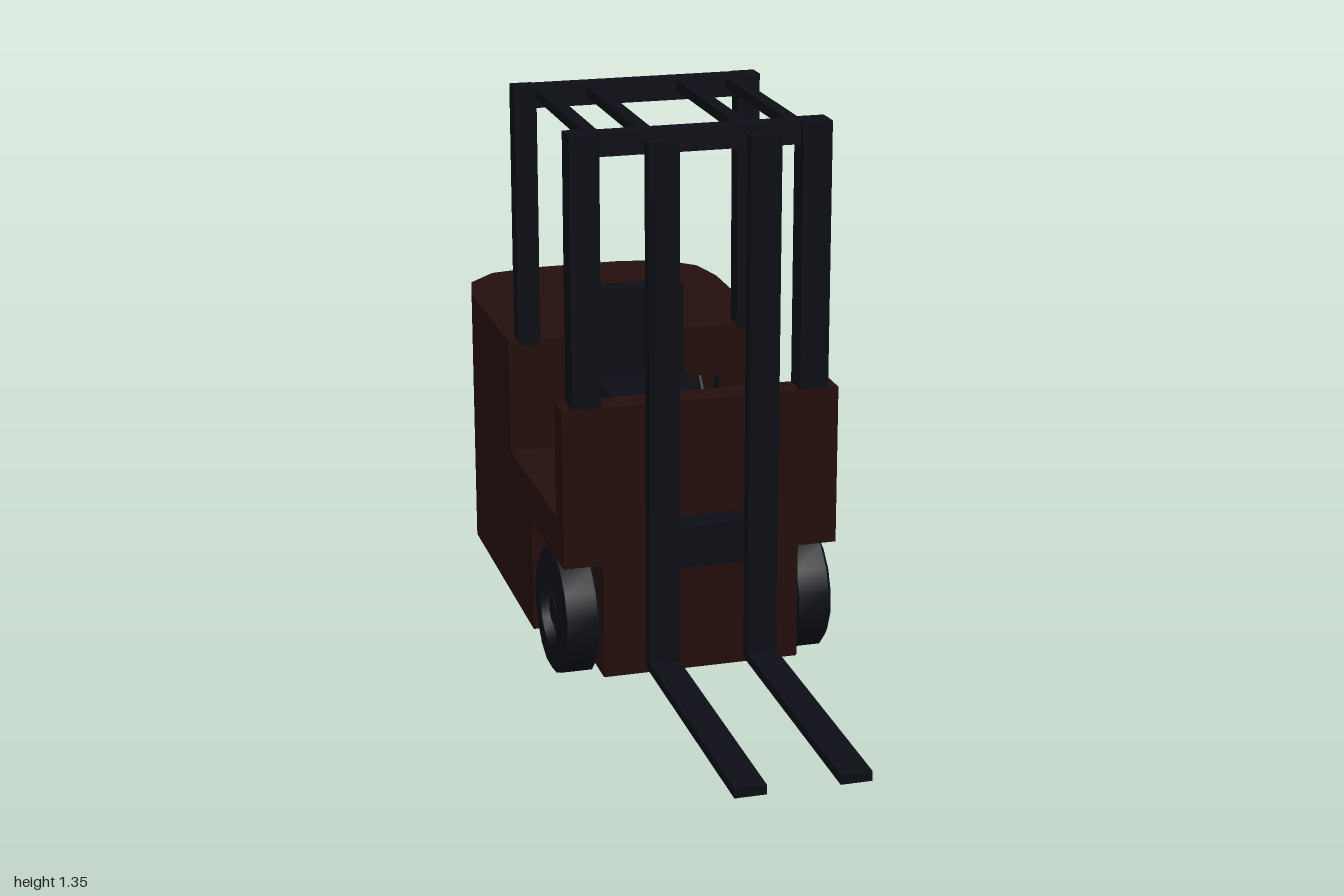
import * as THREE from 'three';
import { toCreasedNormals } from 'three/addons/utils/BufferGeometryUtils.js';

export function createModel() {
  const root = new THREE.Group();
  root.name = 'forklift';
  const paint = new THREE.MeshStandardMaterial({ color: 0x240f0c });
  const dark = new THREE.MeshStandardMaterial({ color: 0x0d0e16 });

  function add(name, geometry, material, parent = root) {
    const mesh = new THREE.Mesh(geometry, material);
    mesh.name = name;
    parent.add(mesh);
    return mesh;
  }
  // Box given by its limits on each axis
  function box(name, [x0, x1], [y0, y1], [z0, z1], material = dark) {
    const mesh = add(name, new THREE.BoxGeometry(x1 - x0, y1 - y0, z1 - z0), material);
    mesh.position.set((x0 + x1) / 2, (y0 + y1) / 2, (z0 + z1) / 2);
    return mesh;
  }
  const shapeOf = (pts) => new THREE.Shape(pts.map(([a, b]) => new THREE.Vector2(a, b)));
  // Side profile of [z, y] points, extruded across x0..x1
  function sideExtrude(name, pts, x0, x1, material) {
    const geo = new THREE.ExtrudeGeometry(shapeOf(pts), { depth: x1 - x0, bevelEnabled: false });
    geo.rotateY(-Math.PI / 2).translate(x1, 0, 0);
    return add(name, geo, material);
  }

  // Front body: centre section plus side sections notched for the wheels
  const upper = [[0.22, 0.71], [0.15, 0.71], [0.15, 0.425], [-0.34, 0.425], [-0.34, 0.035]];
  sideExtrude('bodyCentre', [[0.22, 0.035], ...upper], -0.24, 0.24, paint);
  const notched = [[0.22, 0.32], ...upper, [-0.11, 0.035], [-0.11, 0.32]];
  sideExtrude('bodySideRight', notched, -0.335, -0.24, paint);
  sideExtrude('bodySideLeft', notched, 0.24, 0.335, paint);

  // Rear counterweight with chamfered plan
  const half = [[0.335, 0.34], [0.335, 0.79], [0.313, 0.9], [0.24, 0.975], [0.12, 1]];
  const plan = [...half, ...half.map(([x, z]) => [-x, z]).reverse()];
  const counterweight = new THREE.ExtrudeGeometry(shapeOf(plan), { depth: 0.675, bevelEnabled: false });
  counterweight.rotateX(-Math.PI / 2).translate(0, 0.035, 0);
  add('counterweight', counterweight, paint);

  // Wheels: tyre with a recessed hub on each face
  function wheel(name, x, z, width) {
    const group = new THREE.Group();
    group.name = name;
    const h = width / 2;
    const profile = [
      [0.085, -h + 0.025], [0.085, -h], [0.14, -h], [0.155, -h + 0.01],
      [0.155, h - 0.01], [0.14, h], [0.085, h], [0.085, h - 0.025],
    ].map(([r, y]) => new THREE.Vector2(r, y));
    const tyre = new THREE.LatheGeometry(profile, 16, Math.PI / 16);
    add('tyre', toCreasedNormals(tyre, 0.6), dark, group);
    add('hub', new THREE.CylinderGeometry(0.085, 0.085, width - 0.05, 16, 1, false, Math.PI / 16), paint, group);
    add('axleCap', new THREE.CylinderGeometry(0.035, 0.035, width - 0.02, 12), dark, group);
    group.rotation.z = Math.PI / 2;
    group.position.set(x, 0.152, z);
    root.add(group);
  }
  wheel('frontWheelRight', -0.2875, 0.055, 0.095);
  wheel('frontWheelLeft', 0.2875, 0.055, 0.095);
  wheel('rearWheel', 0, -0.79, 0.1);

  // Mirrored parts: mast rails, forks, guard posts
  for (const [side, s] of [['Right', -1], ['Left', 1]]) {
    const span = (a, b) => (s > 0 ? [a, b] : [-b, -a]);
    box('mastRail' + side, span(0.083, 0.155), [0.08, 1.35], [0.29, 0.325]);
    box('fork' + side, span(0.083, 0.155), [0.08, 0.103], [0.325, 1]);
    box('frontPost' + side, span(0.24, 0.31), [0.7, 1.35], [0.152, 0.218]);
    box('rearPost' + side, span(0.255, 0.31), [0.7, 1.35], [-0.39, -0.337]);
    for (const x of [0.115, 0.24]) {
      box('roofBar' + side, span(x - 0.016, x + 0.016), [1.318, 1.343], [-0.36, 0.18]);
    }
  }
  box('mastCarriage', [-0.115, 0.115], [0.322, 0.425], [0.215, 0.292]);
  box('roofFrontBeam', [-0.25, 0.25], [1.295, 1.35], [0.16, 0.2]);
  box('roofRearBeam', [-0.26, 0.26], [1.295, 1.35], [-0.385, -0.345]);

  // Seat
  box('seatBase', [-0.115, 0.115], [0.42, 0.597], [-0.345, -0.11]);
  box('seatBack', [-0.115, 0.115], [0.59, 0.827], [-0.39, -0.338]);

  // Wedge-shaped console with control levers
  sideExtrude('console', [[0.152, 0.425], [0.152, 0.71], [0.055, 0.637]], -0.1, 0.1, dark);
  for (const [x, tilt] of [[-0.07, -0.75], [-0.04, 0.2], [0.04, -0.75], [0.07, 0.2]]) {
    const geo = new THREE.CylinderGeometry(0.007, 0.007, 0.065, 8).translate(0, 0.025, 0);
    const lever = add('lever', geo, dark);
    lever.position.set(x, 0.67, 0.1);
    lever.rotation.x = tilt;
  }

  return root;
}
